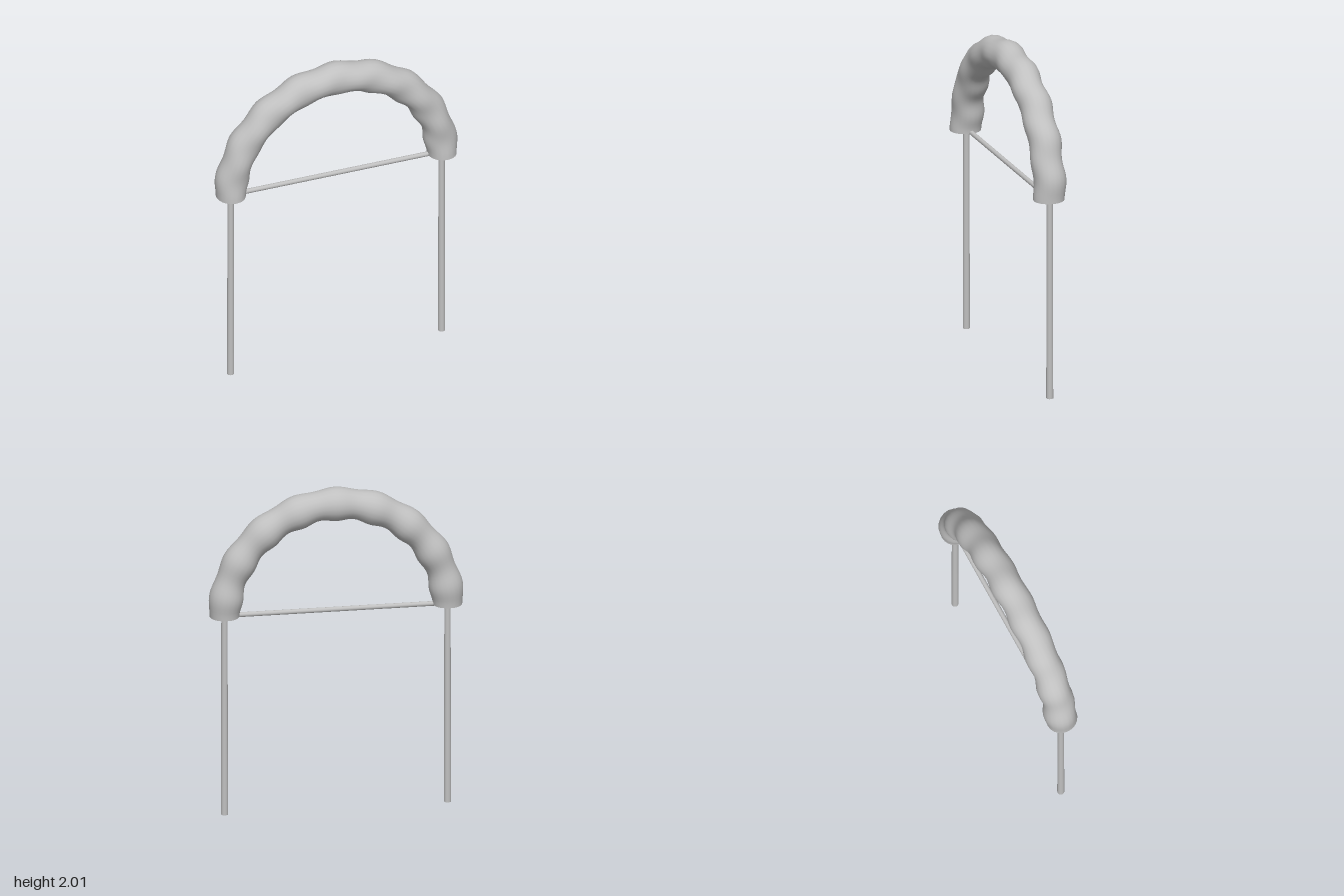
import * as THREE from 'three';

const ARCH_R = 0.665, BASE_Y = 1.24, STEPS = 90, SIDES = 20;

// Point on the lumpy arch: t runs from -90 to 90 degrees across the top, phi goes round the section
function archPoint(t, phi) {
  const front = Math.max(0, Math.sin(phi));
  const r = 0.095 + 0.0075 * Math.cos(18 * t) * (1 - 1.7 * front * front);
  const d = ARCH_R + r * Math.cos(phi);
  return [d * Math.sin(t), BASE_Y + d * Math.cos(t), r * Math.sin(phi)];
}

function makeGeometry(positions, index) {
  const g = new THREE.BufferGeometry();
  g.setAttribute('position', new THREE.Float32BufferAttribute(positions, 3));
  g.setIndex(index);
  g.computeVertexNormals();
  return g;
}

function archGeometry() {
  const pos = [], index = [];
  for (let i = 0; i <= STEPS; i++) {
    const t = (i / STEPS - 0.5) * Math.PI;
    for (let j = 0; j < SIDES; j++) pos.push(...archPoint(t, (j / SIDES) * Math.PI * 2));
  }
  for (let i = 0; i < STEPS; i++) {
    for (let j = 0; j < SIDES; j++) {
      const k = (j + 1) % SIDES;
      const a = i * SIDES + j, b = i * SIDES + k, c = a + SIDES, d = b + SIDES;
      index.push(a, b, c, b, d, c);
    }
  }
  return makeGeometry(pos, index);
}

// Flat cap closing one foot of the arch
function capGeometry(side) {
  const pos = [side * ARCH_R, BASE_Y, 0], index = [];
  for (let j = 0; j < SIDES; j++) {
    pos.push(...archPoint(side * Math.PI / 2, (j / SIDES) * Math.PI * 2));
    const a = j + 1, b = ((j + 1) % SIDES) + 1;
    if (side > 0) index.push(0, a, b);
    else index.push(0, b, a);
  }
  return makeGeometry(pos, index);
}

export function createModel() {
  const group = new THREE.Group();
  const grey = new THREE.MeshStandardMaterial({ color: 0xc0c0c0 });
  grey.name = 'light grey';

  const add = (name, geometry) => {
    const mesh = new THREE.Mesh(geometry, grey);
    mesh.name = name;
    group.add(mesh);
    return mesh;
  };

  // Padded arch
  add('arch', archGeometry());

  // Foot caps and posts on both sides
  for (const [side, label] of [[1, 'left'], [-1, 'right']]) {
    add(label + 'ArchCap', capGeometry(side));
    const post = add(label + 'Post', new THREE.CylinderGeometry(0.019, 0.021, BASE_Y, 12));
    post.position.set(side * ARCH_R, BASE_Y / 2, 0);
  }

  // Crossbar between the posts
  const bar = add('crossbar', new THREE.CylinderGeometry(0.0145, 0.0145, ARCH_R * 2, 12));
  bar.rotation.z = Math.PI / 2;
  bar.position.y = 1.245;

  return group;
}
